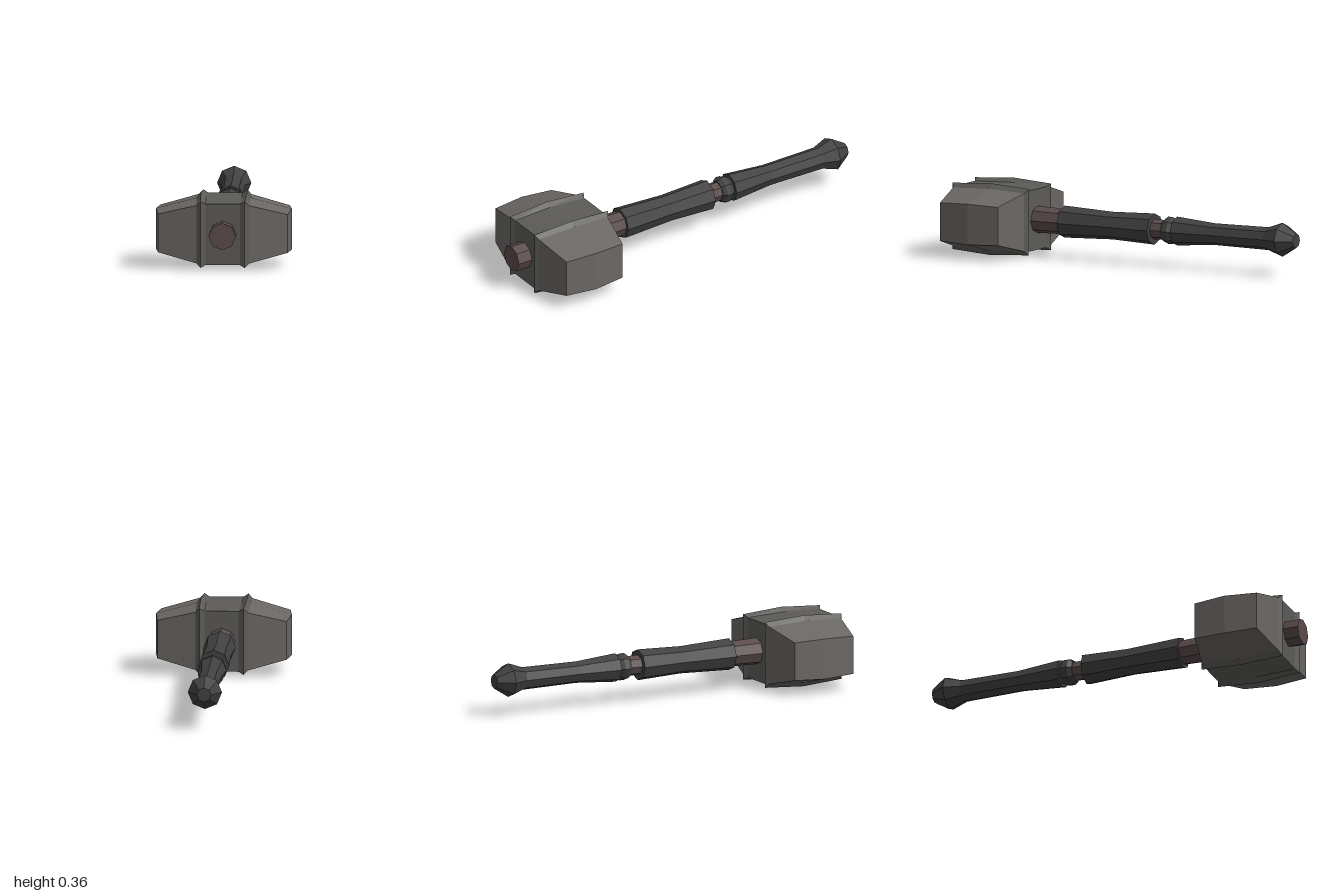
import * as THREE from 'three';

const AXIS_Y = 0.182; // height of the handle axis
const HEAD_Z = 0.715; // middle of the head along the handle

const mat = (color, side = THREE.FrontSide) => new THREE.MeshStandardMaterial({ color, flatShading: true, side });

// Eight-sided turned part along z, from [z, radius] pairs
function turned(name, profile, material) {
  const pts = profile.map(([z, r]) => new THREE.Vector2(r, z));
  const geo = new THREE.LatheGeometry(pts, 8).rotateX(Math.PI / 2).toNonIndexed();
  geo.computeVertexNormals();
  const mesh = new THREE.Mesh(geo, material);
  mesh.name = name;
  mesh.position.y = AXIS_Y;
  return mesh;
}

// Six-cornered section: x at corners, x at the ridge, half heights there, half depth
const section = ([xc, xm, hc, hm, d]) => [
  [xc, -hc, -d], [xc, hc, -d], [xm, hm, 0],
  [xc, hc, d], [xc, -hc, d], [xm, -hm, 0],
];

// Skin through sections ordered by rising x, with folded end faces where asked
function loft(name, rows, material, capLow, capHigh) {
  const rings = rows.map(section);
  const pos = [];
  const quad = (a, b, c, d) => [a, b, c, a, c, d].forEach((p) => pos.push(...p));
  for (let i = 0; i < rings.length - 1; i++) {
    for (let j = 0; j < 6; j++) {
      const k = (j + 1) % 6;
      quad(rings[i][j], rings[i][k], rings[i + 1][k], rings[i + 1][j]);
    }
  }
  const cap = (r, flip) => [[0, 1, 2, 5], [2, 3, 4, 5]].forEach((q) => {
    const c = q.map((n) => r[n]);
    quad(...(flip ? c.reverse() : c));
  });
  if (capLow) cap(rings[0], true);
  if (capHigh) cap(rings[rings.length - 1], false);
  const geo = new THREE.BufferGeometry();
  geo.setAttribute('position', new THREE.Float32BufferAttribute(pos, 3));
  geo.computeVertexNormals();
  const mesh = new THREE.Mesh(geo, material);
  mesh.name = name;
  return mesh;
}

const mirrored = (rows) => rows.map(([xc, xm, ...rest]) => [-xc, -xm, ...rest]).reverse();

export function createModel() {
  const group = new THREE.Group();
  group.name = 'hammer';

  const faceMat = mat(0x6b6764);
  const bandMat = mat(0x5c5b58);
  const wood = mat(0x5c4b4b);
  const leather = mat(0x414141, THREE.DoubleSide);

  // Head: central band with two raised ridges and two tapering ends
  const inner = [0.086, 0.09, 0.154, 0.161, 0.207];
  const ridge = [0.111, 0.116, 0.168, 0.182, 0.221];
  const outer = [0.131, 0.137, 0.147, 0.157, 0.207];
  const end = [0.325, 0.341, 0.097, 0.103, 0.168];
  const half = [inner, ridge, outer];
  const head = new THREE.Group();
  head.name = 'head';
  head.position.set(0, AXIS_Y, HEAD_Z);
  head.add(
    loft('headBand', [...mirrored(half), ...half], bandMat, false, false),
    loft('leftHeadEnd', [outer, end], faceMat, false, true),
    loft('rightHeadEnd', mirrored([outer, end]), faceMat, true, false),
  );
  group.add(head);

  // Wooden shaft, slightly tapered toward the grip
  group.add(turned('shaft', [[-0.4, 0], [-0.4, 0.046], [-0.2, 0.051], [0.5, 0.068], [1, 0.0685], [1, 0]], wood));

  // Leather sleeve, narrow in its middle
  group.add(turned('sleeve', [
    [-0.175, 0.05], [-0.175, 0.079], [0.07, 0.07], [0.35, 0.081], [0.35, 0.064],
  ], leather));

  // Small collar between sleeve and grip
  group.add(turned('collar', [
    [-0.305, 0.048], [-0.305, 0.054], [-0.28, 0.069], [-0.255, 0.069], [-0.235, 0.055], [-0.235, 0.049],
  ], leather));

  // Grip ending in a faceted pommel
  group.add(turned('grip', [
    [-1, 0], [-1, 0.036], [-0.92, 0.086], [-0.84, 0.058], [-0.53, 0.055], [-0.305, 0.073], [-0.305, 0.045],
  ], leather));

  return group;
}
